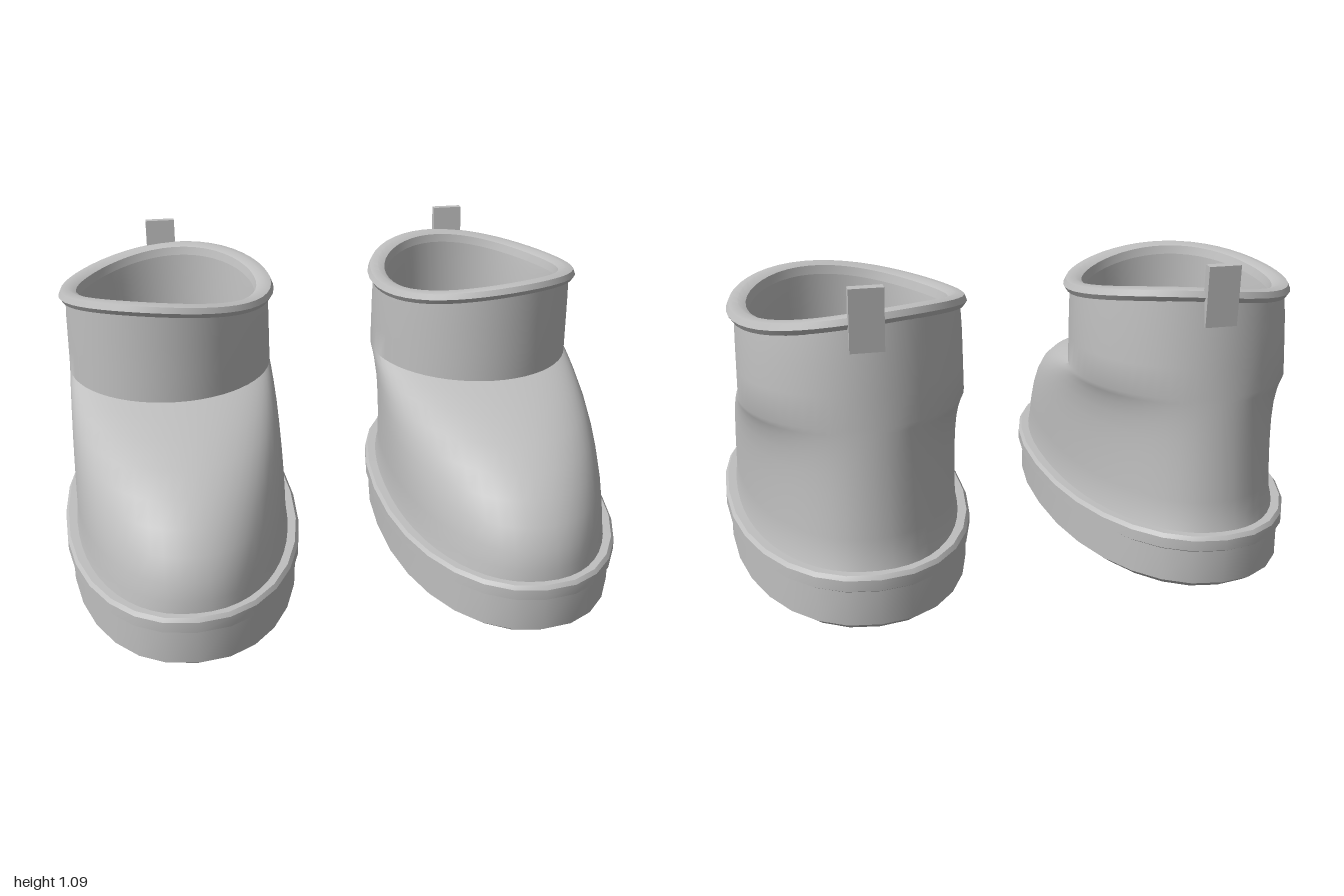
import * as THREE from 'three';
import { toCreasedNormals } from 'three/addons/utils/BufferGeometryUtils.js';

const CENTRE_Z = -0.28; // middle of the leg opening

// One horizontal ring: half width, front z, back z, height (number or function of angle), roundness
function ring(w, front, back, y, e = 2) {
  const mid = (front + back) / 2, half = (front - back) / 2;
  const bend = (v) => Math.sign(v) * Math.pow(Math.abs(v), 2 / e);
  return (a) => [
    w * bend(Math.sin(a)),
    typeof y === 'function' ? y(a) : y,
    mid + half * bend(Math.cos(a)),
  ];
}

// Skin a list of rings, ordered up the outside (and down the inside)
function loft(rings, segments, crease) {
  const pos = [], index = [];
  for (const r of rings) {
    for (let j = 0; j < segments; j++) pos.push(...r((j / segments) * Math.PI * 2));
  }
  for (let i = 0; i < rings.length - 1; i++) {
    for (let j = 0; j < segments; j++) {
      const k = (j + 1) % segments;
      const a = i * segments + j, b = i * segments + k;
      const c = b + segments, d = a + segments;
      index.push(a, b, c, a, c, d);
    }
  }
  const g = new THREE.BufferGeometry();
  g.setAttribute('position', new THREE.Float32BufferAttribute(pos, 3));
  g.setIndex(index);
  return toCreasedNormals(g, crease);
}

function createBoot(side, material) {
  const boot = new THREE.Group();
  const add = (name, geometry) => {
    const mesh = new THREE.Mesh(geometry, material);
    mesh.name = name;
    boot.add(mesh);
    return mesh;
  };

  // Wavy top edge, its peaks turned towards the outer front
  const wave = (offset) => (a) => 0.962 + offset + 0.027 * Math.cos(2 * (a - side * 0.35));
  const circle = (r, y) => ring(r, CENTRE_Z + r, CENTRE_Z - r, y);

  // Sole with a chamfered bottom and a protruding welt
  const soleRing = (w, l, y) => ring(w, l, -l, y, 2.2);
  add('sole', loft([
    soleRing(0, 0, 0), soleRing(0.37, 0.76, 0), soleRing(0.407, 0.8, 0.028),
    soleRing(0.407, 0.8, 0.15),
  ], 28, 0.5));
  add('welt', loft([
    soleRing(0.4, 0.79, 0.138), soleRing(0.422, 0.814, 0.152), soleRing(0.422, 0.814, 0.188),
    soleRing(0.412, 0.803, 0.201), soleRing(0.34, 0.72, 0.201),
  ], 28, 0.5));

  // Upper: toe cap, instep and leg in one skin; [y, front z]
  const toe = [
    [0.195, 0.778], [0.24, 0.772], [0.3, 0.757], [0.37, 0.718], [0.44, 0.655], [0.5, 0.575],
    [0.555, 0.465], [0.6, 0.325], [0.63, 0.2], [0.648, 0.108],
  ];
  const rings = toe.map(([y, front], i) => {
    const back = y < 0.25 ? -0.775 + (y - 0.195) * 0.35 : -0.758 + (y - 0.25) * 0.13;
    const round = 2.2 - 0.2 * (i / (toe.length - 1));
    return ring(y < 0.22 ? 0.382 : 0.375, front, back, y, round);
  });
  rings.push(
    ring(0.374, 0.106, -0.695, 0.75),
    ring(0.373, 0.103, -0.682, 0.85),
    ring(0.37, 0.1, -0.665, wave(-0.02)),
  );
  add('upper', loft(rings, 56, 0.6));

  // Rolled rim around the opening
  add('rim', loft([
    circle(0.355, wave(-0.025)), circle(0.382, wave(-0.022)), circle(0.394, wave(-0.004)),
    circle(0.385, wave(0.016)), circle(0.355, wave(0.021)), circle(0.33, wave(0.01)),
    circle(0.322, wave(-0.02)),
  ], 48, 0.6));

  // Lining: inner wall and insole
  add('lining', loft([
    circle(0.335, wave(0)), circle(0.325, 0.88), circle(0.315, 0.72), circle(0, 0.72),
  ], 48, 0.6));

  // Pull tab at the heel
  const tab = add('pullTab', new THREE.BoxGeometry(0.11, 0.205, 0.032));
  tab.position.set(0, 0.987, -0.668);
  tab.rotation.x = -0.06;

  boot.position.x = side * 0.578;
  return boot;
}

export function createModel() {
  const model = new THREE.Group();
  model.name = 'boots';
  const material = new THREE.MeshStandardMaterial({ color: 0xbfbfbf });
  material.name = 'light grey';
  for (const side of [-1, 1]) {
    const boot = createBoot(side, material);
    boot.name = side > 0 ? 'leftBoot' : 'rightBoot';
    model.add(boot);
  }
  return model;
}
